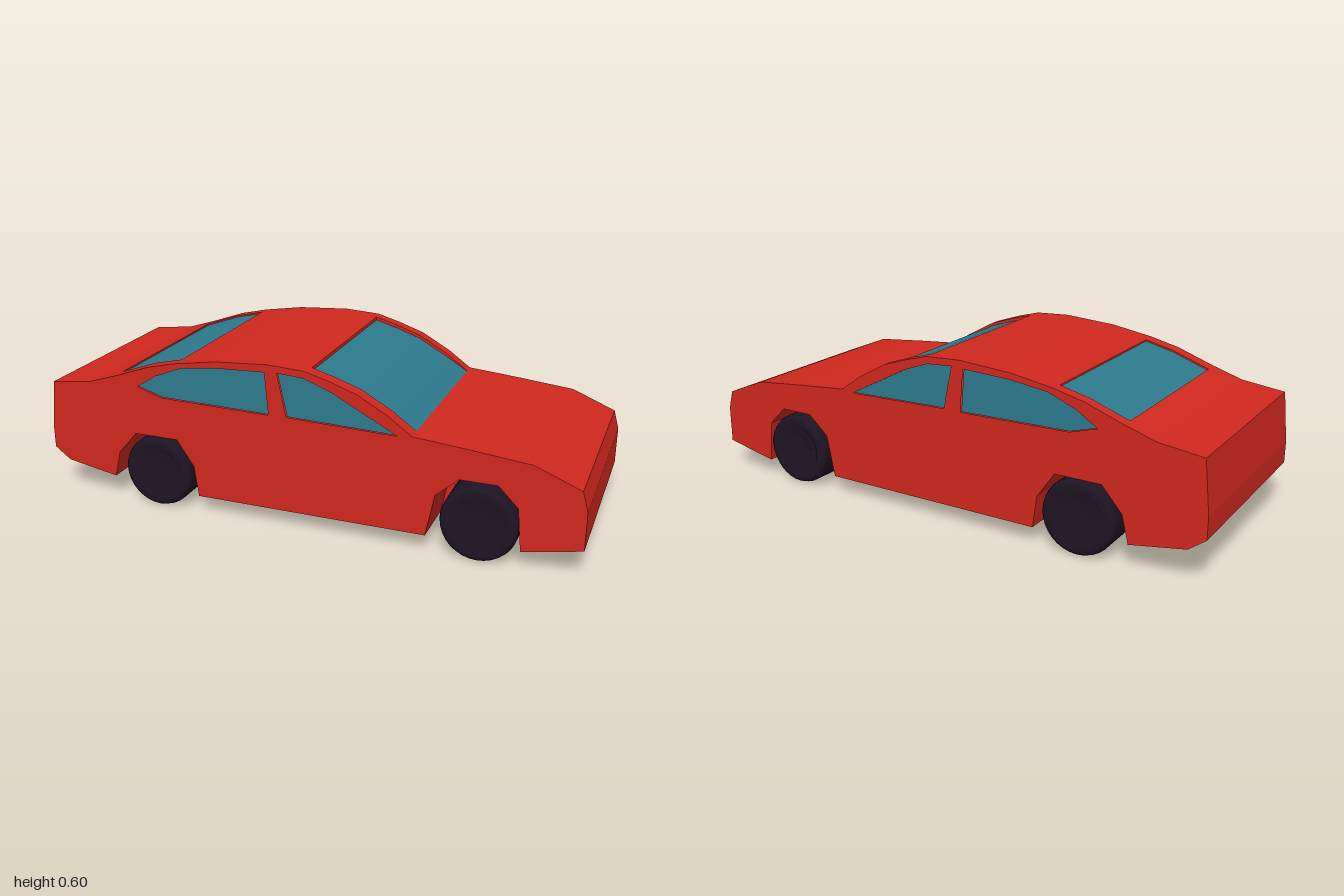
import * as THREE from 'three';

const red = new THREE.MeshStandardMaterial({ color: 0xd0281e });
const teal = new THREE.MeshStandardMaterial({ color: 0x2d7b8e });
const dark = new THREE.MeshStandardMaterial({ color: 0x1e1424 });

// Outline pieces of the car seen from its long side, as [x, y]
const rearDeck = [[-0.98, 0.435], [-0.82, 0.455]];
const rearScreen = [[-0.71, 0.49], [-0.57, 0.54], [-0.46, 0.566]];
const roof = [[-0.3, 0.592], [-0.1, 0.605], [0.03, 0.598]];
const windscreen = [[0.04, 0.596], [0.12, 0.574], [0.22, 0.54], [0.33, 0.479], [0.415, 0.418]];
const nose = [[0.6, 0.402], [0.82, 0.38], [0.98, 0.315], [1, 0.245], [1, 0.107]];
const frontArch = [[0.795, 0.065], [0.78, 0.22], [0.71, 0.29], [0.58, 0.29], [0.5, 0.22], [0.47, 0.065]];
const rearArch = [[-0.39, 0.065], [-0.405, 0.18], [-0.47, 0.275], [-0.64, 0.275], [-0.715, 0.19], [-0.74, 0.09]];
const tail = [[-0.94, 0.125], [-1, 0.17], [-1, 0.25]];

const sideWindows = [
  [[-0.62, 0.46], [-0.54, 0.51], [-0.44, 0.55], [-0.3, 0.568], [-0.115, 0.576], [-0.103, 0.422], [-0.52, 0.43]],
  [[-0.068, 0.579], [0.03, 0.572], [0.13, 0.535], [0.24, 0.477], [0.365, 0.412], [-0.035, 0.423]],
];

const lower = (pts, d) => pts.map(([x, y]) => [x, y - d]);
const toPoints = (pts) => pts.map(([x, y]) => new THREE.Vector2(x, y));

// Extrudes a side outline between two z positions
function slab(name, pts, z0, z1, material, holes = []) {
  const shape = new THREE.Shape(toPoints(pts));
  for (const h of holes) shape.holes.push(new THREE.Path(toPoints(h)));
  const geometry = new THREE.ExtrudeGeometry(shape, { depth: z1 - z0, bevelEnabled: false });
  geometry.translate(0, 0, z0);
  const mesh = new THREE.Mesh(geometry, material);
  mesh.name = name;
  return mesh;
}

function outline(back, front) {
  return [...rearDeck, ...back, ...roof, ...front, ...nose, ...frontArch, ...rearArch, ...tail];
}

// Tyre with rounded shoulders and a shallow dished hub, axis along z
function wheel(name, x, z) {
  const w = 0.09;
  const half = [[0, w - 0.012], [0.055, w - 0.012], [0.062, w - 0.006], [0.09, w - 0.006],
    [0.096, w], [0.118, w], [0.13, w - 0.006], [0.135, w - 0.02]];
  const profile = [...half, ...half.map(([r, y]) => [r, -y]).reverse()].reverse();
  const geometry = new THREE.LatheGeometry(toPoints(profile), 32);
  geometry.rotateX(Math.PI / 2);
  const mesh = new THREE.Mesh(geometry, dark);
  mesh.name = name;
  mesh.position.set(x, 0.136, z);
  return mesh;
}

export function createModel() {
  const car = new THREE.Group();
  car.name = 'car';

  const zLeft = 0.38, zRight = -0.388, skin = 0.012;
  const glassLeft = 0.328, glassRight = -0.344;
  const full = outline(rearScreen, windscreen);

  // Centre of the body, sunk below both screens
  const edges = (pts, d) => [pts[0], ...lower(pts, d), pts[pts.length - 1]];
  car.add(slab('bodyCentre', outline(edges(rearScreen, 0.018), edges(windscreen, 0.022)), glassRight, glassLeft, red));

  // Pillars and flanks outside the screens
  car.add(slab('flankLeft', full, glassLeft, zLeft - skin, red));
  car.add(slab('flankRight', full, zRight + skin, glassRight, red));

  // Outer side panels with window openings
  car.add(slab('sidePanelLeft', full, zLeft - skin, zLeft, red, sideWindows));
  car.add(slab('sidePanelRight', full, zRight, zRight + skin, red, sideWindows));

  // Side glass, set back from the panels
  sideWindows.forEach((w, i) => {
    const label = i ? 'frontSideWindow' : 'rearSideWindow';
    car.add(slab(label + 'Left', w, zLeft - skin, zLeft - 0.007, teal));
    car.add(slab(label + 'Right', w, zRight + 0.007, zRight + skin, teal));
  });

  // Front and rear screens, following the roof curve just below the surface
  const strip = (pts, top, bottom) => [...lower(pts, top), ...lower(pts, bottom).reverse()];
  const frontGlass = strip(windscreen, 0.012, 0.024);
  frontGlass[windscreen.length - 1] = [0.415, 0.416];
  car.add(slab('windscreen', frontGlass, glassRight, glassLeft, teal));
  car.add(slab('rearScreen', strip(rearScreen, 0.006, 0.02), glassRight, glassLeft, teal));

  // Underfloor between the wheels, leaving the arches open above it
  const rearFloor = [[-0.74, 0.09], [-0.717, 0.18], [-0.405, 0.18], [-0.39, 0.065], [-0.45, 0.055]];
  const frontFloor = [[0.47, 0.065], [0.492, 0.18], [0.783, 0.18], [0.795, 0.065]];
  car.add(slab('rearUnderfloor', rearFloor, -0.197, 0.184, red));
  car.add(slab('frontUnderfloor', frontFloor, -0.197, 0.184, red));

  // Wheels
  for (const [end, x] of [['front', 0.65], ['rear', -0.555]]) {
    car.add(wheel(end + 'WheelLeft', x, 0.296));
    car.add(wheel(end + 'WheelRight', x, -0.3));
  }
  return car;
}
